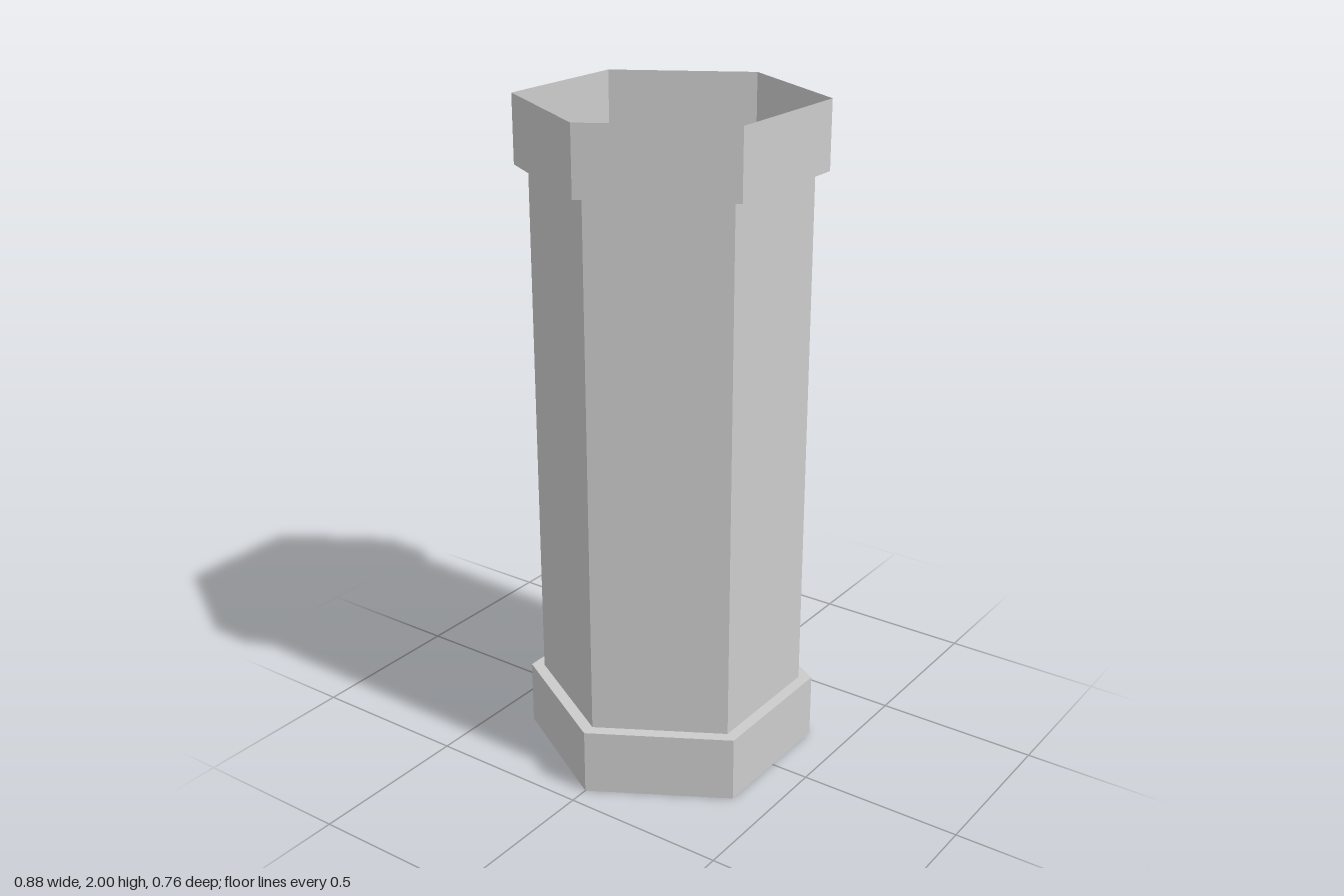
import * as THREE from 'three';

const SIDES = 6;
const BODY_R = 0.4, COLLAR_R = 0.44;
const HEIGHT = 2, COLLAR_H = 0.2;

const material = new THREE.MeshStandardMaterial({
  color: 0xcccccc, flatShading: true, side: THREE.DoubleSide,
});

// Thin hexagonal shell from a [radius, height] profile, corners on the x axis
function hexShell(name, profile) {
  const points = profile.map(([r, y]) => new THREE.Vector2(r, y));
  const geometry = new THREE.LatheGeometry(points, SIDES, Math.PI / 2);
  const mesh = new THREE.Mesh(geometry, material);
  mesh.name = name;
  return mesh;
}

export function createModel() {
  const group = new THREE.Group();
  group.name = 'hexagonalPipe';
  const top = HEIGHT - COLLAR_H;

  group.add(
    // Open collar below, with a ledge stepping in to the body
    hexShell('bottomCollar', [[COLLAR_R, 0], [COLLAR_R, COLLAR_H], [BODY_R, COLLAR_H]]),
    // Hollow tube
    hexShell('body', [[BODY_R, COLLAR_H], [BODY_R, top]]),
    // Open collar above, with a ledge stepping out from the body
    hexShell('topCollar', [[BODY_R, top], [COLLAR_R, top], [COLLAR_R, HEIGHT]]),
  );
  return group;
}
